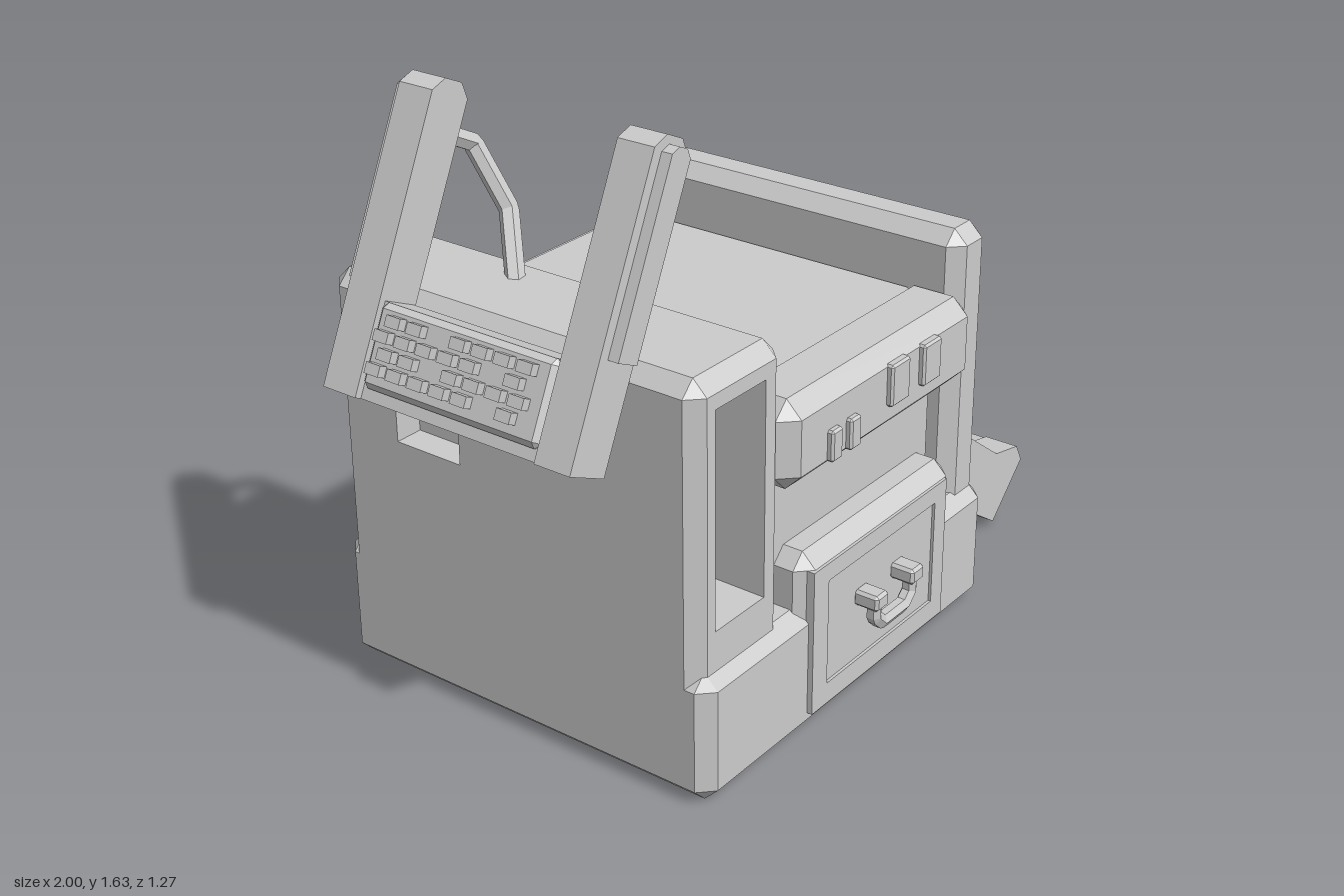
import * as THREE from 'three';
import { ConvexGeometry } from 'three/addons/geometries/ConvexGeometry.js';

const grey = new THREE.MeshStandardMaterial({ color: 0xcccccc, flatShading: true });

function add(parent, name, geometry) {
  const mesh = new THREE.Mesh(geometry, grey);
  mesh.name = name;
  parent.add(mesh);
  return mesh;
}

// Box given by its limits
function box(x0, x1, y0, y1, z0, z1) {
  return new THREE.BoxGeometry(x1 - x0, y1 - y0, z1 - z0)
    .translate((x0 + x1) / 2, (y0 + y1) / 2, (z0 + z1) / 2);
}

// Box with every edge chamfered by c
function chamferBox(x0, x1, y0, y1, z0, z1, c) {
  const pts = [];
  for (const [x, dx] of [[x0, c], [x1, -c]])
    for (const [y, dy] of [[y0, c], [y1, -c]])
      for (const [z, dz] of [[z0, c], [z1, -c]])
        pts.push(
          new THREE.Vector3(x, y + dy, z + dz),
          new THREE.Vector3(x + dx, y, z + dz),
          new THREE.Vector3(x + dx, y + dy, z));
  return new ConvexGeometry(pts);
}

// Side outline (x, y) pulled from z0 to z1
function slab(points, z0, z1) {
  const shape = new THREE.Shape(points.map(p => new THREE.Vector2(...p)));
  return new THREE.ExtrudeGeometry(shape, { depth: z1 - z0, bevelEnabled: false }).translate(0, 0, z0);
}

// Plan outline (x, z) raised from y0 to y1
function raised(points, y0, y1) {
  const shape = new THREE.Shape(points.map(p => new THREE.Vector2(p[0], -p[1])));
  return new THREE.ExtrudeGeometry(shape, { depth: y1 - y0, bevelEnabled: false })
    .rotateX(-Math.PI / 2).translate(0, y0, 0);
}

// Rod with straight runs between points
function rod(points, radius, sides) {
  const path = new THREE.CurvePath();
  const v = points.map(p => new THREE.Vector3(...p));
  for (let i = 1; i < v.length; i++) path.add(new THREE.LineCurve3(v[i - 1], v[i]));
  return new THREE.TubeGeometry(path, 48, radius, sides, false);
}

// Column plan: chamfered corners with optional notches in the front and either side
function columnPlan(x0, x1, { front, left, right }) {
  const c = 0.04, z0 = -0.62, z1 = 0.53;
  const p = [[x0 + c, z1]];
  if (front) p.push([front[0], z1], [front[0], z1 - front[2]], [front[1], z1 - front[2]], [front[1], z1]);
  p.push([x1 - c, z1], [x1, z1 - c]);
  if (right) p.push([x1, right[1]], [x1 - right[2], right[1]], [x1 - right[2], right[0]], [x1, right[0]]);
  p.push([x1, z0 + c], [x1 - c, z0], [x0 + c, z0], [x0, z0 + c]);
  if (left) p.push([x0, left[0]], [x0 + left[2], left[0]], [x0 + left[2], left[1]], [x0, left[1]]);
  p.push([x0, z1 - c]);
  return p;
}

// Top of a column with bevelled upper edges
function columnCap(x0, x1, y0, y1) {
  const c = 0.04, pts = [];
  for (const [x, z] of columnPlan(x0, x1, {}))
    pts.push(new THREE.Vector3(x, y0, z), new THREE.Vector3(x, y1 - c, z));
  for (const x of [x0 + c, x1 - c])
    for (const z of [-0.62 + c, 0.53 - c]) pts.push(new THREE.Vector3(x, y1, z));
  return new ConvexGeometry(pts);
}

function buildBody(g) {
  add(g, 'base', chamferBox(-0.78, 0.49, 0, 0.36, -0.635, 0.56, 0.04));
  add(g, 'centreBlock', chamferBox(-0.46, 0.36, 0.2, 0.93, -0.61, 0.47, 0.05));
  add(g, 'backPanel', box(-0.31, 0.21, 0.42, 0.84, -0.615, -0.6));

  // Lid with clipped corners
  const [x0, x1, z0, z1, k] = [-0.395, 0.325, -0.53, 0.435, 0.05];
  add(g, 'lid', raised([[x0 + k, z0], [x1 - k, z0], [x1, z0 + k], [x1, z1 - k],
    [x1 - k, z1], [x0 + k, z1], [x0, z1 - k], [x0, z0 + k]], 0.9, 0.945));

  // Wide column with a tall front recess and a small side port
  const front = [-0.71, -0.515, 0.4], port = [-0.41, -0.2, 0.08];
  add(g, 'wideColumnFoot', raised(columnPlan(-0.78, -0.435, {}), 0.3, 0.46));
  for (const [y0, y1, left] of [[0.46, 0.7], [0.7, 0.92, port], [0.92, 1.04]])
    add(g, 'wideColumn', raised(columnPlan(-0.78, -0.435, { front, left }), y0, y1));
  add(g, 'wideColumnCap', columnCap(-0.78, -0.435, 1.04, 1.12));

  // Narrow column with the delivery slot
  add(g, 'narrowColumn', raised(columnPlan(0.335, 0.49, { right: [-0.375, 0.285, 0.13] }), 0.3, 0.68));
  add(g, 'narrowColumnCap', columnCap(0.335, 0.49, 0.68, 1.12));
}

function buildFront(g) {
  // Control panel and its buttons
  add(g, 'controlPanel', chamferBox(-0.47, 0.37, 0.715, 0.955, 0.36, 0.57, 0.045));
  for (const [a, b, y0, y1] of [[-0.315, -0.27, 0.755, 0.84], [-0.235, -0.19, 0.755, 0.84],
    [-0.055, 0.028, 0.8, 0.915], [0.093, 0.175, 0.8, 0.915]])
    add(g, 'button', chamferBox(a, b, y0, y1, 0.55, 0.587, 0.006));

  // Drawer with framed front
  add(g, 'drawerHousing', chamferBox(-0.39, 0.3, 0.03, 0.51, 0.3, 0.567, 0.04));
  const frame = new THREE.Shape([[-0.365, 0.06], [0.25, 0.06], [0.25, 0.47], [-0.365, 0.47]]
    .map(p => new THREE.Vector2(...p)));
  frame.holes.push(new THREE.Path([[-0.3, 0.12], [-0.3, 0.42], [0.195, 0.42], [0.195, 0.12]]
    .map(p => new THREE.Vector2(...p))));
  add(g, 'drawerFrame', new THREE.ExtrudeGeometry(frame, { depth: 0.025, bevelEnabled: false })
    .translate(0, 0, 0.55));

  // Handle
  for (const x of [-0.14, 0.027])
    add(g, 'handleMount', chamferBox(x - 0.028, x + 0.028, 0.28, 0.325, 0.56, 0.635, 0.008));
  add(g, 'handleBar', rod([[-0.14, 0.3, 0.608], [-0.14, 0.25, 0.608], [-0.11, 0.222, 0.608],
    [-0.003, 0.222, 0.608], [0.027, 0.25, 0.608], [0.027, 0.3, 0.608]], 0.021, 6));
}

function buildTray(g) {
  const tray = new THREE.Group();
  tray.name = 'tray';
  g.add(tray);
  add(tray, 'trayFloor', slab([[0.38, 0.32], [0.85, 0.01], [1, 0.155], [0.97, 0.205],
    [0.88, 0.145], [0.38, 0.475]], -0.376, 0.286));
  const wall = [[0.38, 0.32], [0.85, 0.01], [1, 0.155], [0.97, 0.21], [0.85, 0.235], [0.38, 0.58]];
  add(tray, 'trayWall', slab(wall, 0.285, 0.39));
  add(tray, 'trayWall', slab(wall, -0.485, -0.375));
}

function buildConsole(g) {
  // Tilted frame: local y runs up the arms, local -x carries the keys
  const frame = new THREE.Group();
  frame.name = 'tiltedConsole';
  frame.position.set(-0.94, 0.907, 0);
  frame.rotation.z = -0.435;
  g.add(frame);

  const bar = (w, y0, y1, c) => [[-w, y0], [w, y0], [w, y1 - c], [w - c, y1], [c - w, y1], [-w, y1 - c]];
  for (const [z0, z1, p0, p1] of [[0.24, 0.345, 0.34, 0.375], [-0.425, -0.318, -0.457, -0.42]]) {
    add(frame, 'arm', slab(bar(0.065, 0, 0.785, 0.035), z0, z1));
    add(frame, 'armPlate', slab(bar(0.036, 0.27, 0.765, 0.02), p0, p1));
  }
  add(frame, 'keyboardBlock', box(-0.045, 0.06, 0, 0.24, -0.33, 0.25));
  add(frame, 'keyboardPlate', chamferBox(-0.066, 0.03, 0.03, 0.24, -0.315, 0.235, 0.015));

  // Staggered keys
  for (let row = 0; row < 4; row++)
    for (let col = 0; col < 7; col++) {
      if ((row * 3 + col) % 6 === 5) continue;
      const z = -0.29 + col * 0.068 + (row % 2) * 0.025, y = 0.068 + row * 0.04;
      add(frame, 'key', box(-0.09, -0.05, y, y + 0.028, z, z + 0.045));
    }

  // Cable from the rear arm down to the column
  add(g, 'cable', rod([[-0.61, 1.48, -0.405], [-0.485, 1.415, -0.385],
    [-0.455, 1.25, -0.3], [-0.56, 1.08, -0.19]], 0.026, 6));
  const nut = add(g, 'cableNut', new THREE.CylinderGeometry(0.036, 0.036, 0.05, 6));
  nut.position.set(-0.59, 1.47, -0.403);
  nut.rotation.z = 1.1;
}

export function createModel() {
  const model = new THREE.Group();
  model.name = 'deskMachine';
  buildBody(model);
  buildFront(model);
  buildTray(model);
  buildConsole(model);
  return model;
}
